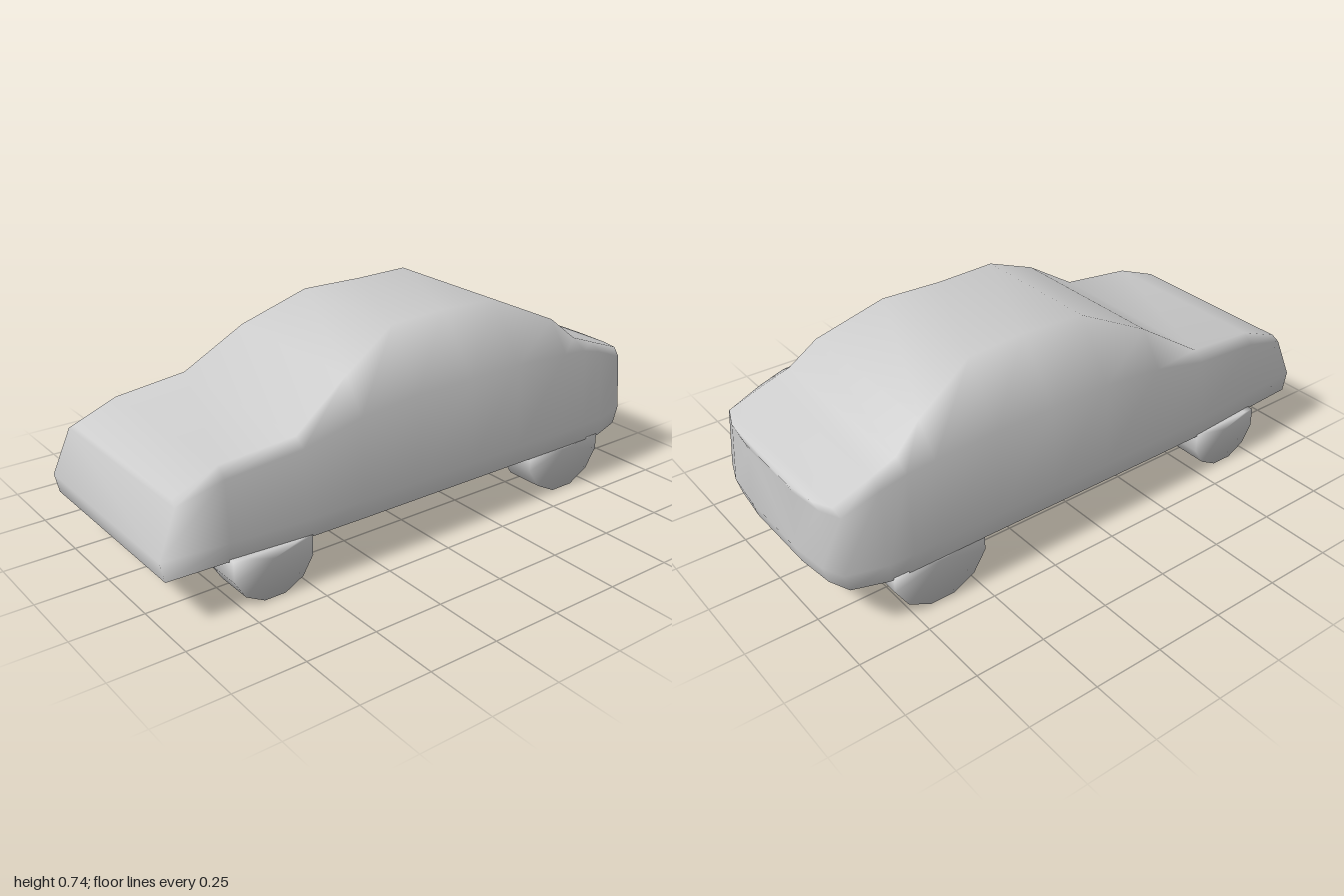
import * as THREE from 'three';
import { mergeVertices } from 'three/addons/utils/BufferGeometryUtils.js';

const material = new THREE.MeshStandardMaterial({ color: 0xcccccc });

// One body section: sill, lower side, shoulder, upper edge as [x, y, z]
function section(x, sill, shoulderY, shoulderZ, edgeY, edgeZ) {
  return [
    [x, 0.155, sill - 0.03],
    [x, 0.163, sill],
    [x, 0.225, sill],
    [x, shoulderY, shoulderZ],
    [x, edgeY, edgeZ],
  ];
}

// Loft of mirrored half sections running from nose to tail, capped at both ends
function loft(halves) {
  const n = halves[0].length, ring = n * 2;
  const positions = [], index = [];
  for (const half of halves) {
    for (const [x, y, z] of half) positions.push(x, y, z);
    for (const [x, y, z] of [...half].reverse()) positions.push(x, y, -z);
  }
  const quad = (a, b, c, d) => index.push(a, b, c, a, c, d);
  for (let i = 0; i < halves.length - 1; i++) {
    for (let j = 0; j < ring; j++) {
      const k = (j + 1) % ring, a = i * ring, b = a + ring;
      quad(a + j, b + j, b + k, a + k);
    }
  }
  const last = (halves.length - 1) * ring;
  for (let j = 0; j < n - 1; j++) {
    const m = ring - 1 - j;
    quad(j, j + 1, m - 1, m);
    quad(last + m, last + m - 1, last + j + 1, last + j);
  }
  const geometry = new THREE.BufferGeometry();
  geometry.setAttribute('position', new THREE.Float32BufferAttribute(positions, 3));
  geometry.setIndex(index);
  geometry.computeVertexNormals();
  return geometry;
}

function createBody() {
  // Raked nose
  const nose = [
    [-0.98, 0.155, 0.345], [-0.985, 0.16, 0.37], [-1, 0.23, 0.37],
    [-0.935, 0.385, 0.36], [-0.93, 0.403, 0.335],
  ];
  // Tail corner, then narrower copies that round the rear in plan
  const tail = (f, dx) => [
    [0.935, 0.163, 0.335], [0.94, 0.168, 0.37], [0.958, 0.23, 0.372],
    [0.945, 0.435, 0.365], [0.955, 0.462, 0.335],
  ].map(([x, y, z]) => [x + dx, y - dx * 0.25, z * f]);

  const mesh = new THREE.Mesh(loft([
    nose,
    section(-0.77, 0.385, 0.43, 0.37, 0.465, 0.335),
    section(-0.5, 0.405, 0.46, 0.387, 0.49, 0.345),
    section(-0.28, 0.407, 0.51, 0.39, 0.63, 0.31),
    section(-0.05, 0.407, 0.53, 0.39, 0.733, 0.25),
    section(0.18, 0.407, 0.53, 0.39, 0.735, 0.235),
    section(0.4, 0.407, 0.53, 0.39, 0.733, 0.25),
    section(0.63, 0.407, 0.52, 0.39, 0.63, 0.31),
    section(0.73, 0.407, 0.51, 0.387, 0.545, 0.33),
    section(0.82, 0.405, 0.485, 0.38, 0.512, 0.335),
    tail(1, 0),
    tail(0.78, 0.028),
    tail(0.4, 0.042),
  ]), material);
  mesh.name = 'body';
  return mesh;
}

// Rounded wheel, its upper half flattened off inside the body floor
function createWheel(name, x, rx, ry, side) {
  let geometry = new THREE.CylinderGeometry(1, 1, 0.143, 12, 1);
  geometry.rotateX(Math.PI / 2);
  geometry.rotateZ(Math.PI / 12);
  const p = geometry.attributes.position;
  const drop = Math.cos(Math.PI / 12) * ry;
  for (let i = 0; i < p.count; i++) {
    const y = p.getY(i) * ry + drop;
    const bulge = Math.hypot(p.getX(i), p.getY(i)) < 0.1 && p.getZ(i) * side < 0 ? 0.015 : 0;
    p.setXYZ(i, p.getX(i) * rx + x, Math.min(y, 0.17), p.getZ(i) + side * (0.335 - bulge));
  }
  geometry.deleteAttribute('normal');
  geometry.deleteAttribute('uv');
  geometry = mergeVertices(geometry);
  geometry.computeVertexNormals();
  const mesh = new THREE.Mesh(geometry, material);
  mesh.name = name;
  return mesh;
}

export function createModel() {
  const car = new THREE.Group();
  car.name = 'car';
  car.add(createBody());
  for (const side of [1, -1]) {
    car.add(createWheel('hoodEndWheel', -0.63, 0.15, 0.14, side));
    car.add(createWheel('trunkEndWheel', 0.637, 0.177, 0.16, side));
  }
  return car;
}
